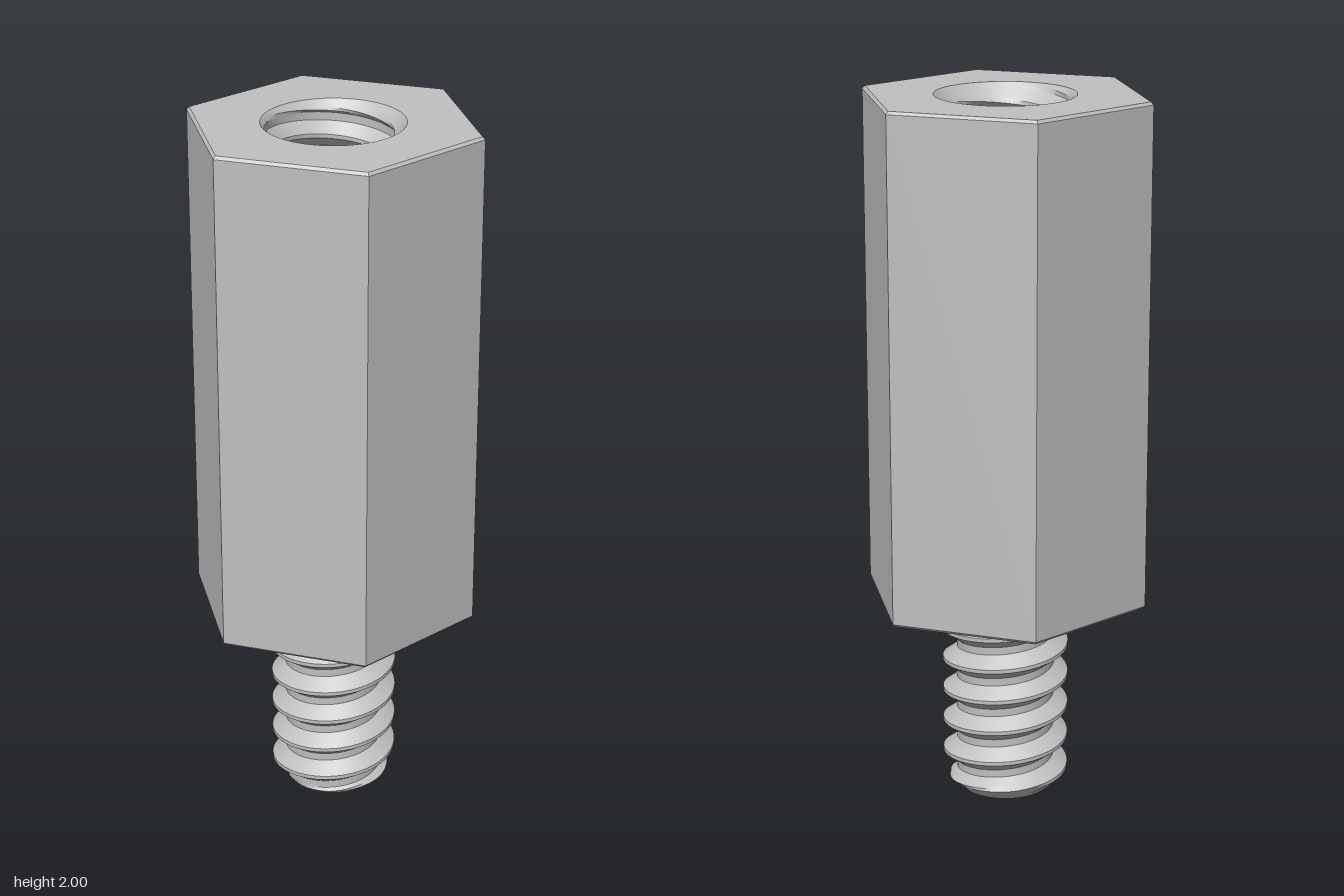
import * as THREE from 'three';
import { toCreasedNormals } from 'three/addons/utils/BufferGeometryUtils.js';

const PITCH = 0.0935, PHASE = 0.546, SEGMENTS = 72;
const BODY_BOTTOM = 0.58, TOP = 2, CORNER = 0.41, EDGE = 0.008;
const HOLE_BOTTOM = 1.15, HOLE_MOUTH = 0.193;

// Right-hand helical thread between two heights; trim(r, y) cuts the end chamfers.
function threadGeometry(root, crest, low, high, trim, inward) {
  // one tooth: crest flat, flank, root flat, flank
  const tooth = [];
  const addLine = (f0, f1, r0, r1, n) => {
    for (let i = 0; i < n; i++) tooth.push([f0 + (f1 - f0) * i / n, r0 + (r1 - r0) * i / n]);
  };
  addLine(-0.06, 0.06, crest, crest, 1);
  addLine(0.06, 0.38, crest, root, 4);
  addLine(0.38, 0.62, root, root, 2);
  addLine(0.62, 0.94, root, crest, 4);

  const first = Math.floor((low - PHASE) / PITCH) - 2;
  const last = Math.ceil((high - PHASE) / PITCH) + 1;
  const rows = [];
  for (let k = first; k <= last; k++) for (const [f, r] of tooth) rows.push([k + f, r]);

  const point = (row, s) => {
    const a = s / SEGMENTS * Math.PI * 2;
    const y = THREE.MathUtils.clamp(PHASE + PITCH * (row[0] + s / SEGMENTS), low, high);
    const r = trim(row[1], y);
    return [r * Math.sin(a), y, r * Math.cos(a)];
  };
  const positions = [];
  const addTriangle = (a, b, c) => {
    // skip pieces squeezed flat at either end
    if (a[1] === b[1] && b[1] === c[1]) return;
    positions.push(...a, ...(inward ? c : b), ...(inward ? b : c));
  };
  for (let i = 0; i < rows.length - 1; i++) {
    for (let s = 0; s < SEGMENTS; s++) {
      const a = point(rows[i], s), b = point(rows[i], s + 1);
      const c = point(rows[i + 1], s + 1), d = point(rows[i + 1], s);
      addTriangle(a, b, c);
      addTriangle(a, c, d);
    }
  }
  const geometry = new THREE.BufferGeometry();
  geometry.setAttribute('position', new THREE.Float32BufferAttribute(positions, 3));
  return toCreasedNormals(geometry, 0.5);
}

export function createModel() {
  const model = new THREE.Group();
  model.name = 'threadedStandoff';
  const metal = new THREE.MeshStandardMaterial({ color: 0xc0c0c0 });
  metal.name = 'plain metal';
  const add = (name, geometry, y = 0) => {
    const mesh = new THREE.Mesh(geometry, metal);
    mesh.name = name;
    mesh.position.y = y;
    model.add(mesh);
  };

  // Hexagonal body: closed underside, chamfered edges, six flats
  const profile = [
    [0, BODY_BOTTOM], [CORNER - EDGE, BODY_BOTTOM], [CORNER, BODY_BOTTOM + EDGE],
    [CORNER, TOP - EDGE], [CORNER - EDGE, TOP],
  ].map(([r, y]) => new THREE.Vector2(r, y));
  add('hexBody', toCreasedNormals(new THREE.LatheGeometry(profile, 6, Math.PI / 2), 0.3));

  // Top face with the round mouth of the hole
  const face = new THREE.Shape();
  for (let i = 0; i < 6; i++) {
    const a = i * Math.PI / 3, r = CORNER - EDGE;
    face[i ? 'lineTo' : 'moveTo'](r * Math.cos(a), r * Math.sin(a));
  }
  face.closePath();
  face.holes.push(new THREE.Path().absarc(0, 0, HOLE_MOUTH, 0, Math.PI * 2, true));
  add('topFace', new THREE.ShapeGeometry(face, SEGMENTS / 2).rotateX(-Math.PI / 2), TOP);

  // Tapped blind hole with a countersunk mouth
  add('holeThread', threadGeometry(0.18, 0.15, HOLE_BOTTOM, TOP,
    (r, y) => Math.max(r, HOLE_MOUTH - (TOP - y) * 0.9), true));
  add('holeFloor', new THREE.CircleGeometry(0.182, SEGMENTS).rotateX(-Math.PI / 2), HOLE_BOTTOM);

  // Threaded stud with a chamfered tip
  add('studThread', threadGeometry(0.138, 0.178, 0, BODY_BOTTOM + 0.01,
    (r, y) => Math.min(r, 0.13 + y * 1.1), false));
  add('studTip', new THREE.CircleGeometry(0.13, SEGMENTS).rotateX(Math.PI / 2));

  return model;
}
